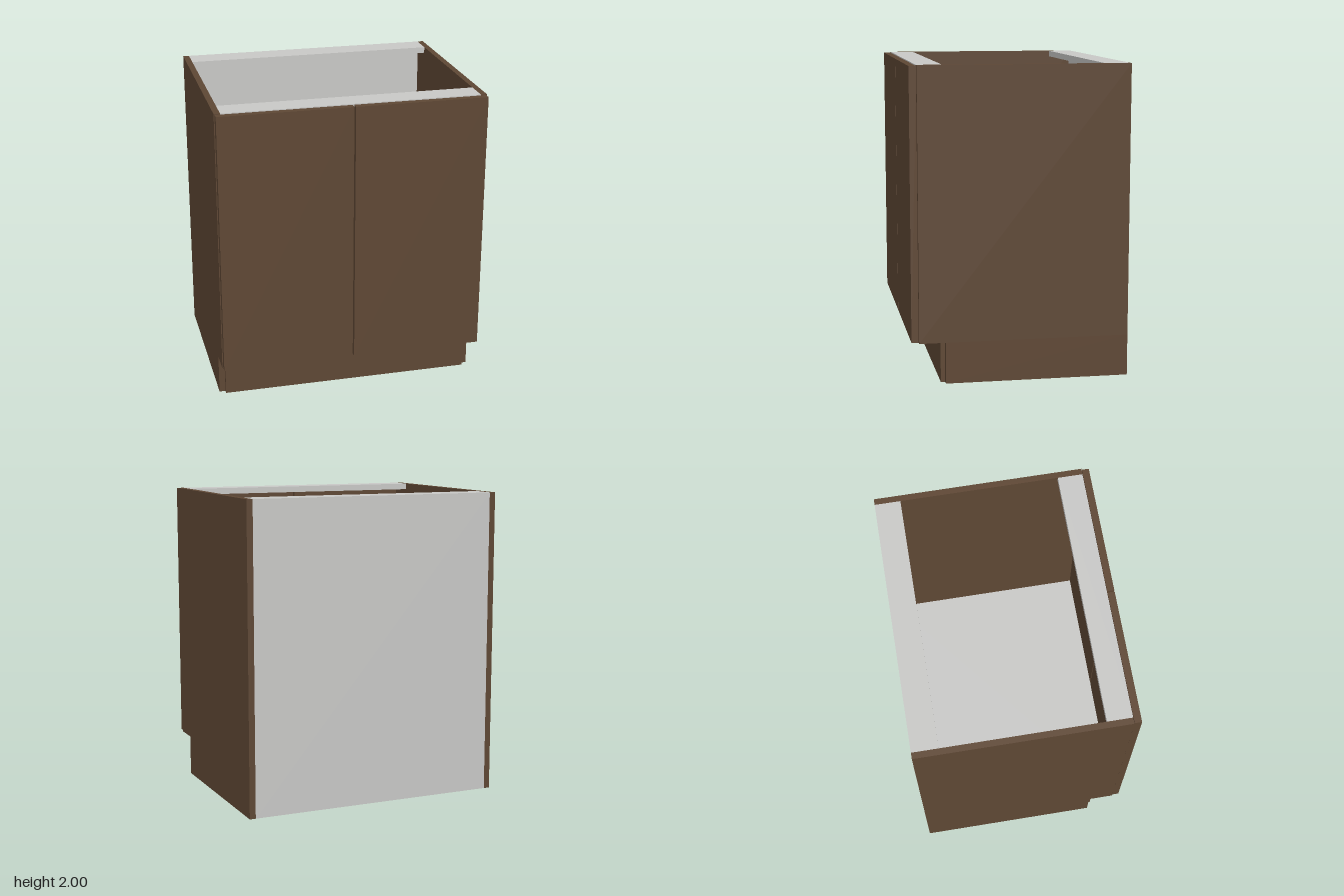
import * as THREE from 'three';

export function createModel() {
  const cabinet = new THREE.Group();
  cabinet.name = 'baseCabinet';

  const wood = new THREE.MeshStandardMaterial({ color: 0x5e4734 });
  wood.name = 'dark brown wood';
  const board = new THREE.MeshStandardMaterial({ color: 0xc8c8c6 });
  board.name = 'light grey board';

  // A flat panel given by its lower and upper limits on each axis
  function panel(name, material, [x0, x1], [y0, y1], [z0, z1]) {
    const mesh = new THREE.Mesh(new THREE.BoxGeometry(x1 - x0, y1 - y0, z1 - z0), material);
    mesh.position.set((x0 + x1) / 2, (y0 + y1) / 2, (z0 + z1) / 2);
    mesh.name = name;
    cabinet.add(mesh);
  }

  const outer = 0.868, inner = 0.828;
  const back = -0.695, carcassFront = 0.647, front = 0.695;
  const floorY = 0.265, top = 2;
  const thick = 0.04, backThick = 0.015;
  const width = [-inner, inner];

  // Sides, with the toe space cut back below, and the pair of doors
  for (const [side, s] of [['left', 1], ['right', -1]]) {
    const span = (a, b) => (s > 0 ? [a, b] : [-b, -a]);
    panel(side + 'SidePanel', wood, span(inner, outer), [floorY, top], [back, carcassFront]);
    panel(side + 'SidePlinth', wood, span(inner, outer), [0, floorY], [back, 0.48]);
    panel(side + 'Door', wood, span(0.005, 0.863), [0.272, 1.995], [carcassFront + 0.003, front]);
  }

  // Toe kick board
  panel('toeKick', wood, width, [0, floorY], [0.47, 0.508]);

  // Back and floor
  panel('backPanel', board, width, [0, top], [back, back + backThick]);
  panel('floorPanel', board, width, [floorY, floorY + thick], [back + backThick, carcassFront]);

  // Rails across the open top
  panel('frontRail', board, width, [top - thick, top], [0.487, carcassFront]);
  panel('backRail', board, width, [top - thick, top], [back + backThick, -0.53]);

  return cabinet;
}
